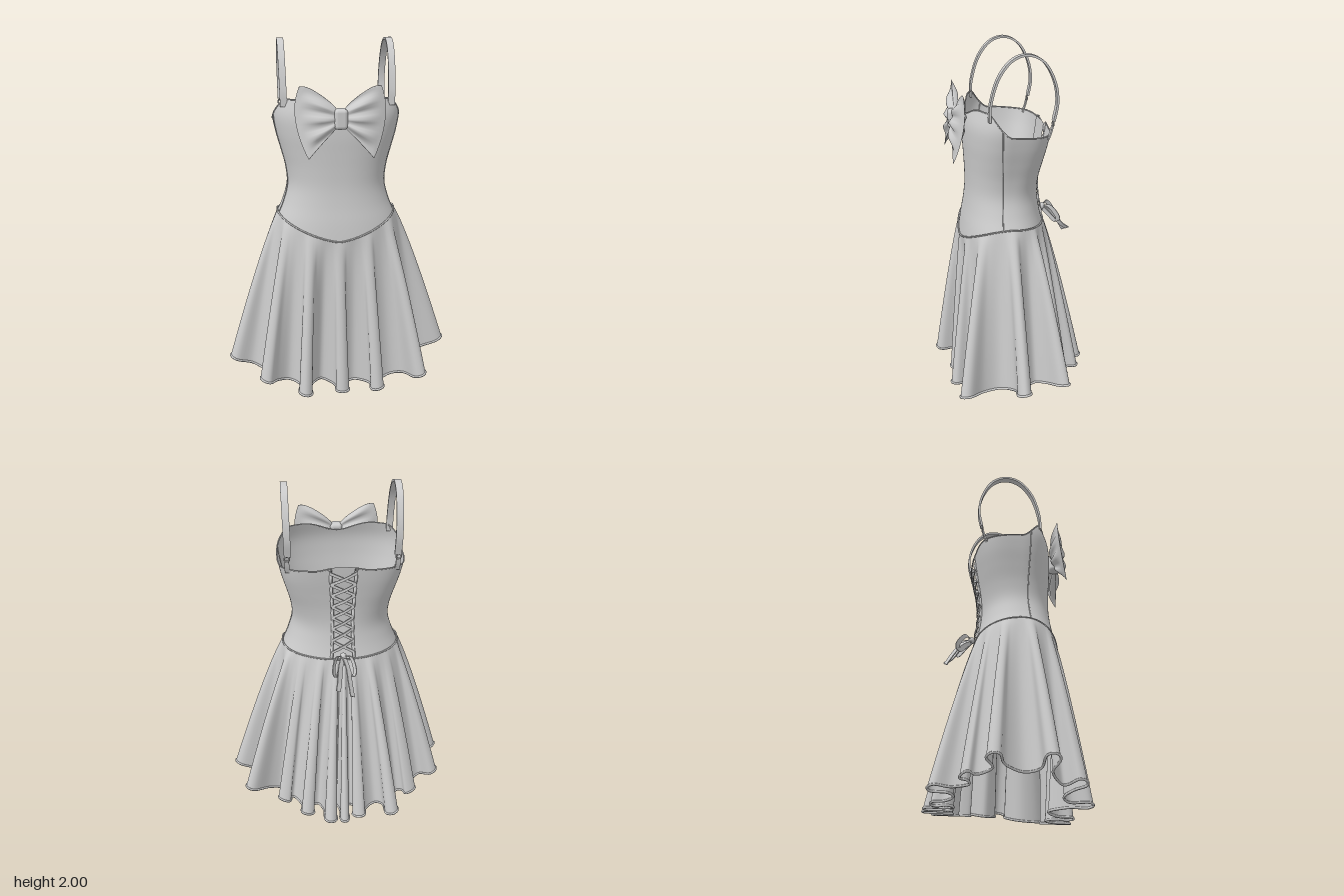
import * as THREE from 'three';
import { toCreasedNormals } from 'three/addons/utils/BufferGeometryUtils.js';
import { RoundedBoxGeometry } from 'three/addons/geometries/RoundedBoxGeometry.js';

const V = (x, y, z) => new THREE.Vector3(x, y, z);
const { smoothstep, lerp, degToRad } = THREE.MathUtils;
const CX = -0.015, CZ = 0.05; // axis of the bodice
const material = new THREE.MeshStandardMaterial({ color: 0xcccccc, side: THREE.DoubleSide });

function add(group, name, geometry) {
  const mesh = new THREE.Mesh(geometry, material);
  mesh.name = name;
  group.add(mesh);
  return mesh;
}

// Skin a list of equally long rows of points; wrap joins each row's end to its start
function loft(rows, wrap = false) {
  const n = rows[0].length, index = [];
  for (let i = 0; i < rows.length - 1; i++) {
    for (let j = 0; j < (wrap ? n : n - 1); j++) {
      const k = (j + 1) % n, a = i * n, b = a + n;
      index.push(a + j, b + j, a + k, b + j, b + k, a + k);
    }
  }
  const geometry = new THREE.BufferGeometry().setFromPoints(rows.flat());
  geometry.setIndex(index);
  geometry.computeVertexNormals();
  return geometry;
}

function tube(points, radius, closed = false, segments = points.length * 2) {
  return new THREE.TubeGeometry(new THREE.CatmullRomCurve3(points, closed), segments, radius, 6, closed);
}

// Flat band following a path, its width along the side vector
function ribbon(points, side, width, thick, segments = 40) {
  const curve = new THREE.CatmullRomCurve3(points), rows = [];
  for (let i = 0; i <= segments; i++) {
    const p = curve.getPoint(i / segments);
    const normal = curve.getTangent(i / segments).cross(side).normalize();
    rows.push([[1, 1], [-1, 1], [-1, -1], [1, -1]].map(([a, b]) =>
      p.clone().addScaledVector(side, a * width / 2).addScaledVector(normal, b * thick / 2)));
  }
  return toCreasedNormals(loft(rows, true), 0.7);
}

// Bodice sections every 0.1 from y = 0.8: half width, front z, back z
const sections = new THREE.CatmullRomCurve3([
  V(0.40, 0.30, -0.24), V(0.38, 0.292, -0.215), V(0.348, 0.28, -0.182), V(0.306, 0.264, -0.16),
  V(0.28, 0.254, -0.15), V(0.288, 0.254, -0.155), V(0.313, 0.258, -0.17), V(0.34, 0.262, -0.187),
  V(0.356, 0.256, -0.2), V(0.345, 0.222, -0.205)], false, 'catmullrom');

function polar(angle, width, depth, n) {
  const c = Math.cos(angle), s = Math.sin(angle);
  const r = (Math.abs(c / width) ** n + Math.abs(s / depth) ** n) ** (-1 / n);
  return [r * c, r * s];
}

// Point on the bodice at an angle (0 = left side, 90 degrees = front)
function body(angle, y, scale = 1) {
  const p = sections.getPoint(THREE.MathUtils.clamp((y - 0.8) / 0.9, 0, 1));
  const front = Math.sin(angle) > 0;
  const n = front ? 2.3 : lerp(2.2, 3.8, smoothstep(y, 1.15, 1.55));
  const [x, z] = polar(angle, p.x, front ? p.y - CZ : CZ - p.z, n);
  return V(CX + x * scale, y, CZ + z * scale);
}

function waistY(angle) {
  const s = Math.sin(angle);
  if (s < 0) return 1.04 + 0.03 * s;
  return 0.905 + 0.135 * (Math.abs(body(angle, 1).x - CX) / 0.348) ** 1.4;
}

function topY(angle) {
  const s = Math.sin(angle);
  if (s < 0) return 1.57 - 0.012 * smoothstep(-s, 0, 0.5) + 0.015 * smoothstep(-s, 0.85, 1);
  const a = Math.asin(Math.min(1, s));
  return 1.57 + 0.12 * smoothstep(a, 0, 0.42) - 0.055 * smoothstep(a, 0.6, 1.57);
}

function wall(from, to, scale, columns) {
  const rows = [];
  for (let i = 0; i <= 36; i++) {
    rows.push(Array.from({ length: columns + 1 }, (_, j) => {
      const a = degToRad(lerp(from, to, j / columns));
      return body(a, lerp(waistY(a) - 0.015, topY(a), i / 36), scale);
    }));
  }
  return rows;
}

function buildBodice(group) {
  const rows = wall(-74, 254, 1, 220);
  add(group, 'bodice', loft(rows));
  add(group, 'neckline', tube(rows[36], 0.004));
  add(group, 'backPanel', loft(wall(-110, -70, 0.94, 16)));
  for (const deg of [9, 171]) {
    const a = degToRad(deg);
    add(group, 'sideSeam', tube(Array.from({ length: 37 }, (_, i) =>
      body(a, lerp(waistY(a), topY(a), i / 36), 1.002)), 0.003));
  }
  // Scalloped edges of the laced opening
  for (const deg of [-74, -106]) {
    add(group, 'lacingEdge', tube(Array.from({ length: 61 }, (_, i) => {
      const p = body(degToRad(deg), lerp(1.02, 1.565, i / 60));
      p.z -= 0.006 * Math.sin(i / 60 * Math.PI * 14);
      return p;
    }), 0.009));
  }
}

// Hanging folds at the hem in order of angle: tip x, z and the valley x, z before it
const folds = [[0.65, 0.045, 0.42, -0.06], [0.47, 0.38, 0.41, 0.14], [0.2, 0.4, 0.29, 0.25],
  [0, 0.375, 0.08, 0.235], [-0.225, 0.435, -0.12, 0.215], [-0.465, 0.345, -0.31, 0.26],
  [-0.65, 0.155, -0.43, 0.22], [-0.605, -0.15, -0.49, 0.02], [-0.435, -0.275, -0.45, -0.17],
  [-0.3, -0.435, -0.34, -0.23], [-0.09, -0.405, -0.2, -0.295], [-0.01, -0.44, -0.05, -0.28],
  [0.07, -0.44, 0.03, -0.28], [0.21, -0.38, 0.14, -0.27], [0.355, -0.275, 0.28, -0.23],
  [0.575, -0.22, 0.365, -0.15]];

function buildSkirt(group) {
  const TAU = Math.PI * 2, count = folds.length;
  const angles = [];
  folds.forEach(([x, z]) => {
    let a = Math.atan2((z - CZ) * (z > CZ ? 0.54 : 0.6), x * 0.66);
    if (angles.length && a < angles[angles.length - 1]) a += TAU;
    angles.push(a);
  });
  // Each fold: valley, neck, head, tip, head, neck
  const points = [], turn = [];
  folds.forEach(([x, z, vx, vz], i) => {
    const a = angles[i], next = folds[(i + 1) % count];
    const before = (a + (i ? angles[i - 1] : angles[count - 1] - TAU)) / 2;
    const after = (a + (i < count - 1 ? angles[i + 1] : angles[0] + TAU)) / 2;
    const valley = V(vx, 0, vz), nextValley = V(next[2], 0, next[3]);
    const tip = V(x, 0, z), root = valley.clone().lerp(nextValley, 0.5);
    const across = tip.clone().sub(root).normalize().cross(V(0, 1, 0));
    const half = Math.min(0.037, 0.32 * valley.distanceTo(nextValley));
    const at = (f, w) => root.clone().lerp(tip, f).addScaledVector(across, w * half);
    points.push(valley, at(0.35, -0.85), at(0.84, -1), tip, at(0.84, 1), at(0.35, 0.85));
    turn.push(before, lerp(before, a, 0.45), lerp(before, a, 0.8), a, lerp(a, after, 0.2), lerp(a, after, 0.55));
  });
  turn.push(turn[0] + TAU);
  const curve = new THREE.CatmullRomCurve3(points, true, 'catmullrom');
  const total = points.length * 5, hem = [], waist = [];
  for (let i = 0; i < total; i++) {
    const f = i / 5, k = Math.floor(f), a = lerp(turn[k], turn[k + 1], f - k);
    const p = curve.getPoint(i / total);
    p.y = 0.008 + 0.155 * (Math.abs(p.x) / 0.65) ** 1.8 + 0.03 * smoothstep(-p.z, -0.3, 0.2);
    hem.push(p);
    waist.push(body(a, waistY(a), 1.022));
  }
  const rows = Array.from({ length: 33 }, (_, i) => {
    const v = i / 32, out = v ** 0.85;
    return waist.map((w, j) => V(lerp(w.x, hem[j].x, out), lerp(w.y, hem[j].y, v), lerp(w.z, hem[j].z, out)));
  });
  add(group, 'skirt', loft(rows, true));
  add(group, 'hem', tube(hem, 0.007, true, total));
  add(group, 'waistSeam', tube(waist.filter((_, i) => i % 4 === 0), 0.005, true));
}

function buildStraps(group) {
  for (const s of [-1, 1]) {
    const x = -0.0135 + s * 0.3;
    const path = [[0.168, 1.65], [0.163, 1.74], [0.115, 1.89], [0.04, 1.975], [-0.04, 1.994], [-0.12, 1.955],
      [-0.18, 1.85], [-0.197, 1.74], [-0.18, 1.64]].map(([z, y]) => V(x + s * 0.02 * (y - 1.85), y, z));
    add(group, 'strap', ribbon(path, V(1, 0, 0), 0.038, 0.012, 60));
    const ring = add(group, 'strapRing', new THREE.TorusGeometry(0.014, 0.004, 6, 16));
    ring.position.set(x, 1.625, -0.176);
    add(group, 'strapEnd', ribbon([V(x, 1.615, -0.174), V(x, 1.58, -0.165), V(x, 1.54, -0.15)],
      V(1, 0, 0), 0.025, 0.008, 8));
  }
}

function buildFrontBow(group) {
  const bow = new THREE.Group();
  bow.name = 'frontBow';
  for (const s of [-1, 1]) {
    const rows = [];
    for (let i = 0; i <= 24; i++) {
      const u = i / 24, thick = 0.034 * Math.sin(Math.PI * (0.12 + 0.88 * u));
      rows.push(Array.from({ length: 48 }, (_, j) => {
        const a = j / 48 * Math.PI * 2, h = Math.sin(a);
        // Rounded upper corner, drooping pointed lower corner
        const reach = h > 0 ? 0.155 * u ** 0.75 - 0.025 * u ** 8 : 0.17 * u ** 0.95;
        const y = h * (0.04 + reach);
        const pleat = 0.012 * Math.sin(Math.PI * Math.min(1, u * 1.1)) * Math.cos(h * 11);
        const outer = 0.045 * u * u * (1 - (h - 0.25) ** 2);
        return V(s * (0.015 + 0.185 * u + outer), y,
          thick * Math.cos(a) + pleat - 0.15 * y + 0.02 * u * h * h - 0.015 * u * u);
      }));
    }
    add(bow, 'bowLoop', loft(rows, true));
  }
  add(bow, 'bowKnot', new RoundedBoxGeometry(0.072, 0.11, 0.07, 3, 0.02));
  bow.position.set(-0.013, 1.603, 0.312);
  group.add(bow);
}

function buildLacing(group) {
  const lace = (y, s) => body(degToRad(-90 + s * 17), y).add(V(0, 0, -0.01));
  for (let i = 0; i < 7; i++) {
    const y = 1.05 + i * 0.071;
    for (const s of [-1, 1]) {
      const a = lace(y, s), b = lace(y + 0.071, -s);
      const mid = a.clone().lerp(b, 0.5).add(V(0, 0, -0.006 - 0.004 * s));
      add(group, 'lace', ribbon([a, mid, b], V(0, 1, 0), 0.017, 0.006, 8));
    }
  }
  // Tied ends below the lacing
  const knot = add(group, 'laceKnot', new THREE.SphereGeometry(0.02, 12, 8));
  knot.position.set(CX, 1.04, -0.2);
  for (const s of [-1, 1]) {
    add(group, 'laceLoop', ribbon([V(0, 1.04, -0.2), V(s * 0.04, 1.05, -0.235), V(s * 0.06, 0.98, -0.285),
      V(s * 0.045, 0.95, -0.28), V(s * 0.015, 1.0, -0.23), V(0, 1.03, -0.2)].map(p => p.add(V(CX, 0, 0))),
    V(0.55 * s, 0.4, -0.73).normalize(), 0.028, 0.005));
    add(group, 'laceTail', ribbon([V(CX, 1.04, -0.2), V(CX + s * 0.02, 1.0, -0.26),
      V(CX + s * 0.03, 0.93, -0.31), V(CX + s * 0.04, 0.88 + 0.02 * s, -0.35)],
    V(0.75, 0.5, -0.43).normalize(), 0.032, 0.006));
  }
}

export function createModel() {
  const group = new THREE.Group();
  group.name = 'dress';
  buildBodice(group);
  buildSkirt(group);
  buildStraps(group);
  buildFrontBow(group);
  buildLacing(group);
  return group;
}
